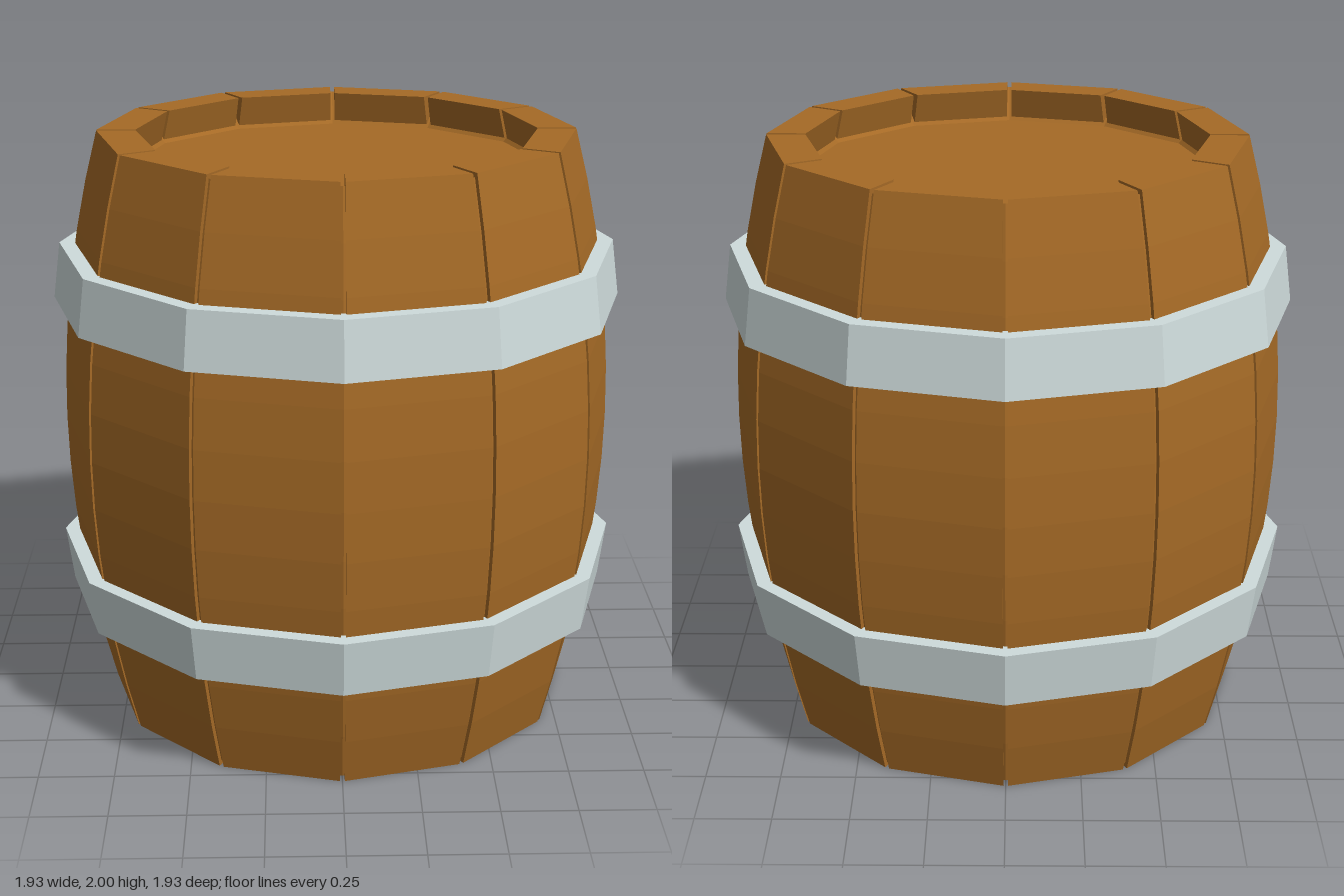
import * as THREE from 'three';

const SIDES = 12;
const HALF = Math.PI / SIDES;
const GAP = 0.008;       // half the groove between two staves
const LID = 0.115;       // recess of both lids
const wood = new THREE.MeshStandardMaterial({ color: 0xa56a26 });
wood.name = 'wood';
const steel = new THREE.MeshStandardMaterial({ color: 0xcedbdb });
steel.name = 'steel';

// bulging barrel radius, measured at the corners of the twelve-sided section
const radius = (y) => 0.94 - 0.14 * (y - 1) ** 2;

function faceted(geometry) {
  const g = geometry.index ? geometry.toNonIndexed() : geometry;
  g.computeVertexNormals();
  return g;
}

function addMesh(parent, name, geometry, material) {
  const mesh = new THREE.Mesh(geometry, material);
  mesh.name = name;
  parent.add(mesh);
  return mesh;
}

function lathe(points) {
  return faceted(new THREE.LatheGeometry(points.map(([r, y]) => new THREE.Vector2(r, y)), SIDES));
}

// one stave: a box bent to follow the bulge and tapered towards the axis
function staveGeometry() {
  const g = new THREE.BoxGeometry(2, 2, 2, 1, 12, 1);
  const p = g.attributes.position;
  for (let i = 0; i < p.count; i++) {
    const y = p.getY(i) + 1;
    const r = radius(y) - (p.getZ(i) > 0 ? 0 : 0.13);
    p.setXYZ(i, p.getX(i) * (r * Math.sin(HALF) - GAP), y, r * Math.cos(HALF));
  }
  return faceted(g);
}

// one board of the bottom, cut to the round of the barrel
function boardGeometry(z0, z1) {
  const edge = [];
  for (let i = 0; i <= 5; i++) {
    const z = z0 + (z1 - z0) * i / 5;
    edge.push([Math.sqrt(0.71 ** 2 - z * z), z]);
  }
  const outline = [...edge, ...edge.map(([x, z]) => [-x, z]).reverse()];
  const shape = new THREE.Shape(outline.map(([x, z]) => new THREE.Vector2(x, z)));
  const g = new THREE.ExtrudeGeometry(shape, { depth: 0.03, bevelEnabled: false });
  return g.rotateX(-Math.PI / 2).translate(0, LID, 0);
}

export function createModel() {
  const barrel = new THREE.Group();
  barrel.name = 'barrel';

  // staves
  const staves = new THREE.Group();
  staves.name = 'staves';
  barrel.add(staves);
  const stave = staveGeometry();
  for (let i = 0; i < SIDES; i++) {
    addMesh(staves, 'stave', stave, wood).rotation.y = (2 * i + 1) * HALF;
  }

  // core that closes the grooves and carries the lids
  const profile = [[0, LID + 0.012], [0.685, LID + 0.012], [0.685, 0.015]];
  for (let i = 0; i <= 12; i++) {
    const y = 0.015 + 1.97 * i / 12;
    profile.push([radius(y) - 0.016, y]);
  }
  profile.push([0.685, 2 - LID], [0, 2 - LID]);
  addMesh(barrel, 'coreAndTopLid', lathe(profile), wood);

  // bottom boards
  const bottom = new THREE.Group();
  bottom.name = 'bottomBoards';
  barrel.add(bottom);
  for (let i = 0; i < 5; i++) {
    const z = -0.675 + 0.27 * i;
    addMesh(bottom, 'bottomBoard', boardGeometry(z + 0.006, z + 0.264), wood);
  }

  // hoops, wider towards the middle of the barrel
  const hoop = (low, high, rLow, rHigh) => lathe([
    [0.86, low], [rLow, low], [rHigh, high], [0.86, high], [0.86, low],
  ]);
  addMesh(barrel, 'lowerHoop', hoop(0.385, 0.575, 0.938, 0.963), steel);
  addMesh(barrel, 'upperHoop', hoop(1.428, 1.618, 0.963, 0.938), steel);

  return barrel;
}
